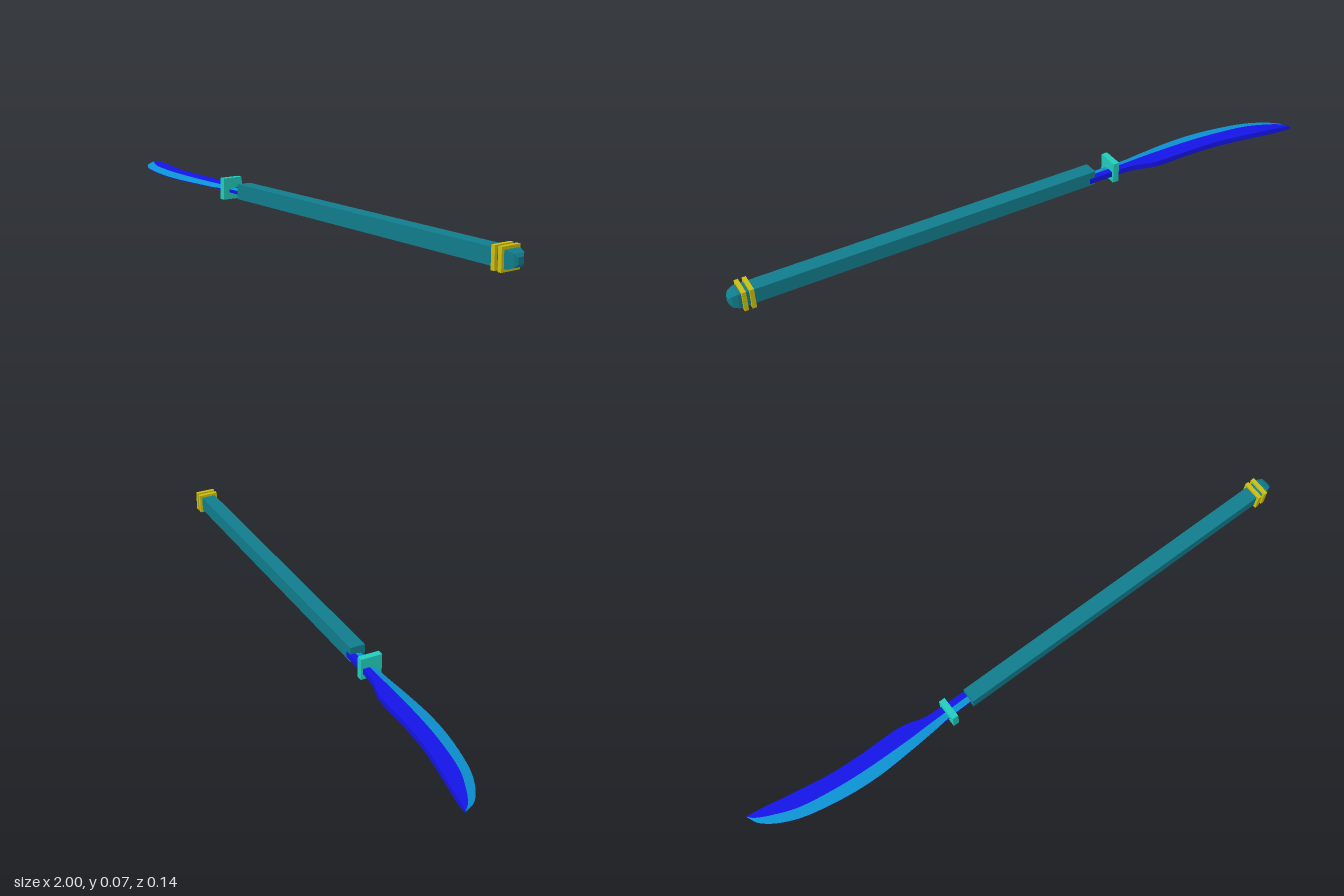
import * as THREE from 'three';

const AXIS_Y = 0.036, AXIS_Z = 0.033, BLADE_Y = 0.028;

const paint = (color) => new THREE.MeshStandardMaterial({ color, flatShading: true, side: THREE.DoubleSide });

// Square block on the handle axis, from x0 to x1
function block(name, x0, x1, half, material) {
  const mesh = new THREE.Mesh(new THREE.BoxGeometry(x1 - x0, half * 2, half * 2), material);
  mesh.position.set((x0 + x1) / 2, AXIS_Y, AXIS_Z);
  mesh.name = name;
  return mesh;
}

// Skin between successive cross-sections, each a list of [x, y, z]
function loft(name, sections, material) {
  const pos = [];
  for (let i = 0; i < sections.length - 1; i++) {
    const p = sections[i], q = sections[i + 1];
    for (let j = 0; j < p.length - 1; j++) {
      pos.push(...p[j], ...q[j], ...q[j + 1], ...p[j], ...q[j + 1], ...p[j + 1]);
    }
  }
  const geo = new THREE.BufferGeometry();
  geo.setAttribute('position', new THREE.Float32BufferAttribute(pos, 3));
  geo.computeVertexNormals();
  const mesh = new THREE.Mesh(geo, material);
  mesh.name = name;
  return mesh;
}

function createBlade() {
  // x, spine z, ridge z, cutting edge z, half thickness, half thickness at the edge
  const stations = [
    [-1.0, -0.073, -0.072, -0.07, 0.004, 0.001],
    [-0.98, -0.07, -0.052, -0.033, 0.0075, 0.001],
    [-0.93, -0.062, -0.026, 0.004, 0.0095, 0.001],
    [-0.85, -0.047, 0.003, 0.036, 0.0095, 0.001],
    [-0.72, -0.027, 0.022, 0.06, 0.0095, 0.001],
    [-0.6, -0.021, 0.029, 0.067, 0.0095, 0.001],
    [-0.47, -0.02, 0.03, 0.06, 0.0095, 0.001],
    [-0.39, 0.0, 0.028, 0.053, 0.0095, 0.001],
    [-0.32, 0.005, 0.027, 0.047, 0.0095, 0.005],
    [-0.22, 0.006, 0.026, 0.045, 0.0095, 0.006],
  ];
  const column = (c) => new THREE.CatmullRomCurve3(
    stations.map((s) => new THREE.Vector3(s[0], s[c], 0)), false, 'catmullrom', 0.5);
  const curves = [1, 2, 3, 4, 5].map(column);
  const spine = [], topBevel = [], lowBevel = [], edge = [];
  const steps = 45;
  for (let i = 0; i <= steps; i++) {
    const pts = curves.map((c) => c.getPoint(i / steps));
    const x = pts[0].x;
    const [back, ridge, front, h, e] = pts.map((p) => p.y);
    const at = (dy, z) => [x, BLADE_Y + dy, z];
    spine.push([at(h, ridge), at(h, back), at(-h, back), at(-h, ridge)]);
    lowBevel.push([at(-h, ridge), at(-e, front)]);
    edge.push([at(-e, front), at(e, front)]);
    topBevel.push([at(e, front), at(h, ridge)]);
  }
  const blue = paint(0x1414e6), cyan = paint(0x0c92d2);
  const blade = new THREE.Group();
  blade.name = 'blade';
  blade.add(
    loft('bladeBody', spine, blue),
    loft('upperBevel', topBevel, cyan),
    loft('lowerBevel', lowBevel, cyan),
    loft('cuttingEdge', edge, blue));
  return blade;
}

export function createModel() {
  const model = new THREE.Group();
  model.name = 'polearm';
  const teal = paint(0x117c8c), gold = paint(0xccbe10);

  model.add(createBlade());
  model.add(block('guard', -0.326, -0.305, 0.036, paint(0x20ccbc)));
  model.add(block('handle', -0.24, 0.975, 0.025, teal));

  // Gold bands near the butt
  for (const x of [0.928, 0.952]) model.add(block('band', x, x + 0.013, 0.034, gold));

  // Stepped taper closing the butt end
  const square = (x, h) => [[1, 1], [1, -1], [-1, -1], [-1, 1], [1, 1]]
    .map(([y, z]) => [x, AXIS_Y + y * h, AXIS_Z + z * h]);
  model.add(loft('buttCap',
    [square(0.975, 0.025), square(0.992, 0.019), square(1.0, 0.01), square(1.0, 0)], teal));
  return model;
}
